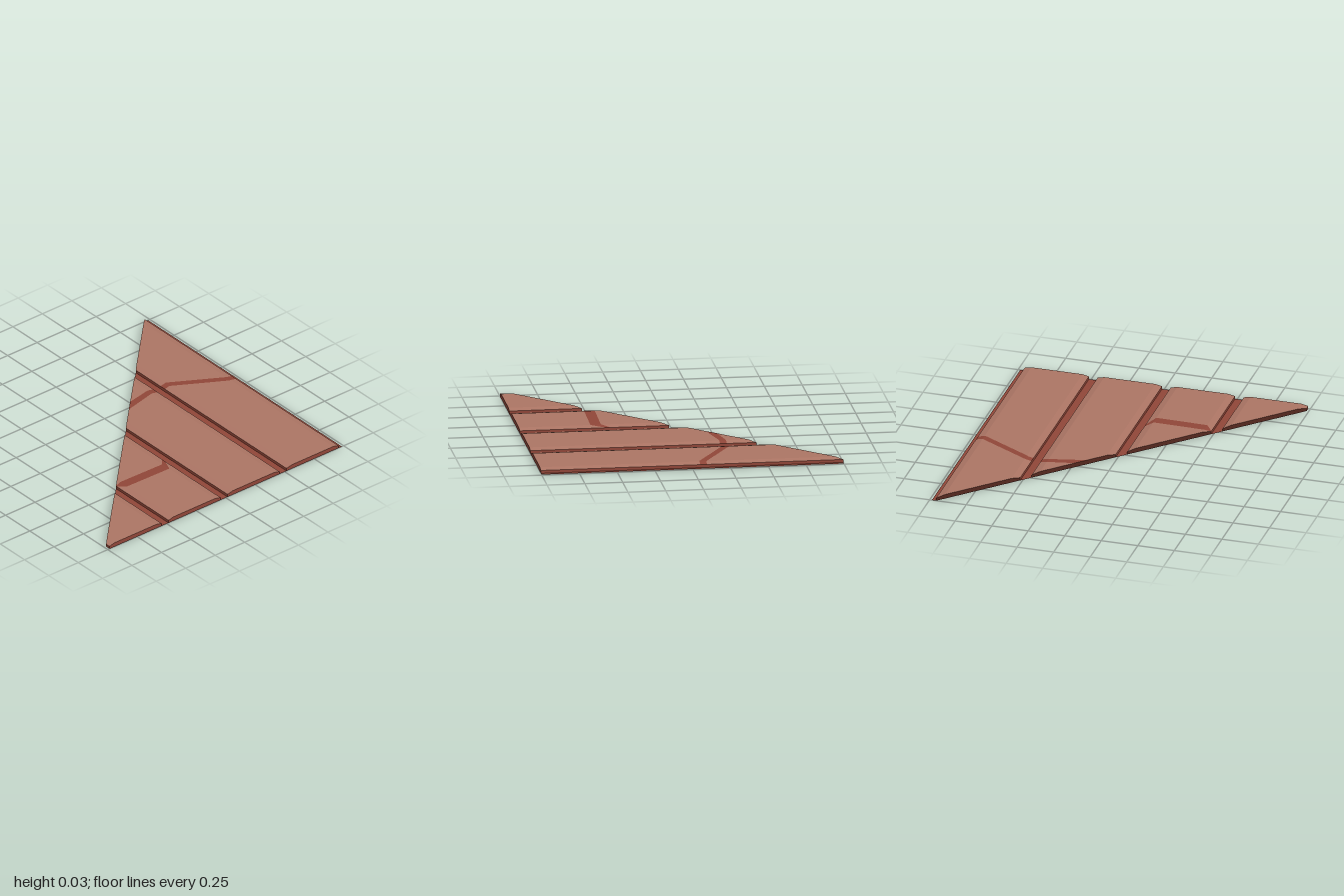
import * as THREE from 'three';

const paint = color => new THREE.MeshStandardMaterial({ color, flatShading: true, side: THREE.DoubleSide });
const brown = paint(0xac7564), red = paint(0x904638), darkRed = paint(0x55281f);

const WIDTH = 0.44, PITCH = 0.5, LEFT = -0.985, BEVEL = 0.045;
const TOP = 0.03, EDGE = 0.02, FRONT = 1, SIDE = 0.985;
const diagonal = x => Math.max(-1, -0.033 - 1.0129 * x);

// Piecewise linear z along a list of [x, z] points, kept inside the diagonal cut
function zAt(line, x) {
  let i = 1;
  while (i < line.length - 1 && x > line[i][0]) i++;
  const [xa, za] = line[i - 1], [xb, zb] = line[i];
  return Math.max(diagonal(x), za + (zb - za) * (x - xa) / (xb - xa));
}

// Plank shell, open underneath, with bevelled long sides; a crack lies between its two lines
function plank(name, left, crack = []) {
  const right = left + WIDTH;
  const ends = f => [[left, f(left)], [right, f(right)]];
  const lines = [ends(diagonal), ...crack, ends(() => FRONT)];
  const xs = [...lines.flat().map(p => p[0]), left + BEVEL, right - BEVEL]
    .sort((a, b) => a - b).filter((x, i, all) => i === 0 || x - all[i - 1] > 1e-4);
  const rows = xs.map(x => {
    const h = EDGE + (TOP - EDGE) * Math.max(0, Math.min(1, (x - left) / BEVEL, (right - x) / BEVEL));
    return lines.map(line => ({ b: [x, 0, zAt(line, x)], t: [x, h, zAt(line, x)] }));
  });

  // Triangles sorted by material: top, crack and walls, cut end
  const parts = [[], [], []];
  const quad = (part, a, b, c, d) => parts[part].push(...a, ...b, ...c, ...a, ...c, ...d);
  const last = lines.length - 1;
  for (let i = 1; i < rows.length; i++) {
    const p = rows[i - 1], q = rows[i];
    for (let k = 0; k < last; k++) quad(k % 2, p[k].t, p[k + 1].t, q[k + 1].t, q[k].t);
    quad(1, p[last].b, q[last].b, q[last].t, p[last].t);
    quad(2, q[0].b, p[0].b, p[0].t, q[0].t);
  }
  const s = rows[0], e = rows[rows.length - 1];
  quad(1, s[0].b, s[last].b, s[last].t, s[0].t);
  quad(1, e[last].b, e[0].b, e[0].t, e[last].t);

  const geometry = new THREE.BufferGeometry();
  geometry.setAttribute('position', new THREE.Float32BufferAttribute(parts.flat(), 3));
  let start = 0;
  parts.forEach((part, i) => {
    geometry.addGroup(start, part.length / 3, i);
    start += part.length / 3;
  });
  geometry.computeVertexNormals();
  const mesh = new THREE.Mesh(geometry, [brown, red, darkRed]);
  mesh.name = name;
  return mesh;
}

// Flat strip on the ground beside a plank (shape y becomes -z)
function gapStrip(name, x0, x1) {
  const shape = new THREE.Shape([[x0, FRONT], [x1, FRONT], [x1, diagonal(x1)], [x0, diagonal(x0)]]
    .map(([x, z]) => new THREE.Vector2(x, -z)));
  const mesh = new THREE.Mesh(new THREE.ShapeGeometry(shape).rotateX(-Math.PI / 2), red);
  mesh.name = name;
  return mesh;
}

export function createModel() {
  const group = new THREE.Group();
  group.name = 'triangularPlankFloor';
  const lefts = [0, 1, 2, 3].map(i => LEFT + i * PITCH);
  const [, b, c, d] = lefts;

  // Back and front line of the crack in each plank; the shortest has none
  const cracks = [
    [],
    [[[b, 0.458], [-0.44, 0.45], [-0.095, 0.457], [b + WIDTH, 0.4]],
      [[b, 0.465], [-0.44, 0.52], [-0.09, 0.527], [b + WIDTH, 0.43]]],
    [[[c, -0.2], [0.23, -0.266], [0.4, -0.3], [c + WIDTH, -0.3]],
      [[c, -0.17], [0.167, -0.202], [0.22, -0.213], [0.4, -0.255], [c + WIDTH, -0.255]]],
    [[[d, -0.3], [0.56, -0.3], [0.91, -0.1], [d + WIDTH, -0.1]],
      [[d, -0.255], [0.55, -0.255], [0.9, -0.055], [d + WIDTH, -0.055]]],
  ];
  lefts.forEach((left, i) => {
    group.add(plank(`plank${i + 1}`, left, cracks[i]));
    group.add(gapStrip(`gapStrip${i + 1}`, left + WIDTH, Math.min(left + PITCH, SIDE)));
  });
  return group;
}
